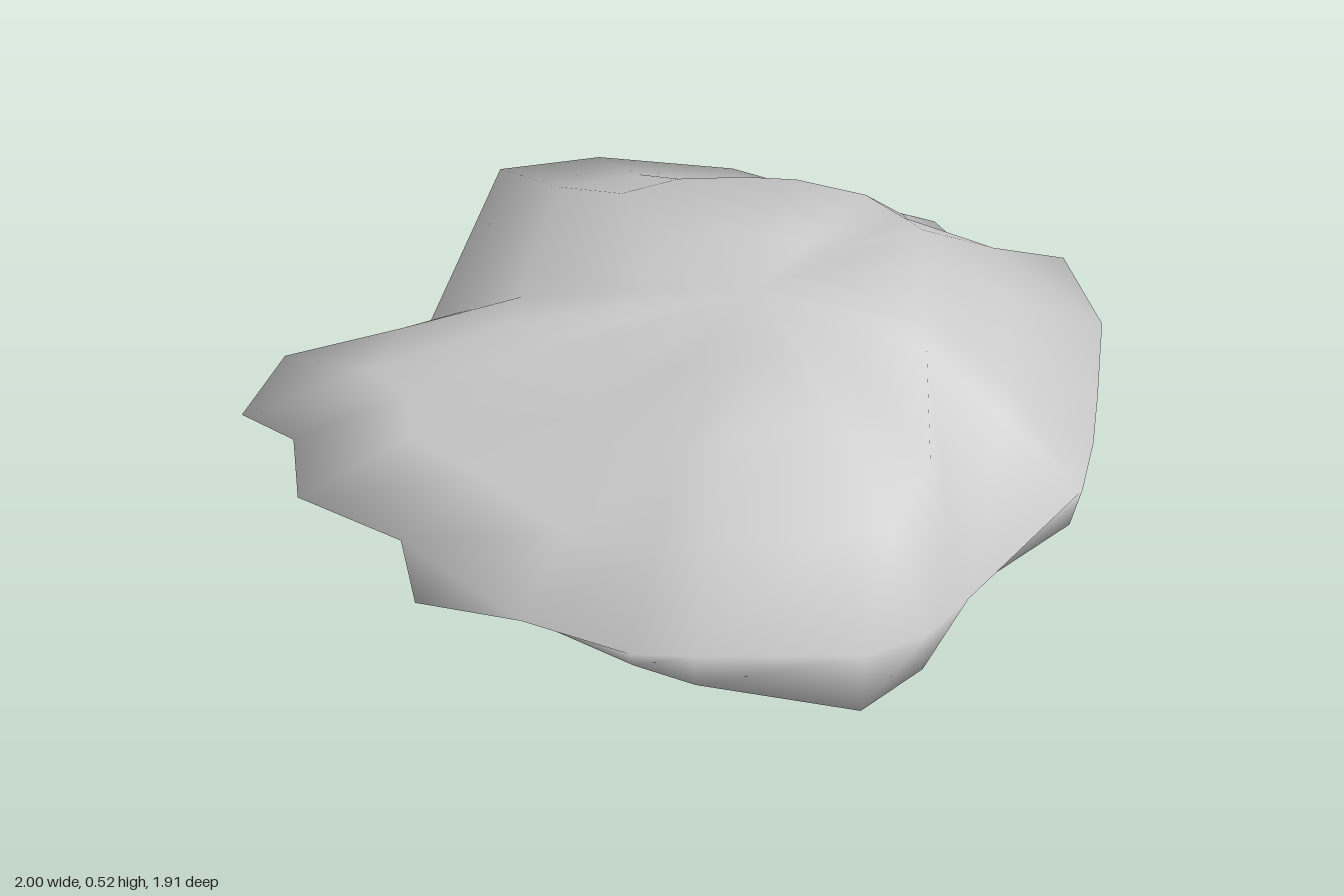
import * as THREE from 'three';

// Spokes around the boulder, clockwise from the back:
// rim x, rim z, rim height, shoulder fraction, shoulder height, base height
const SPOKES = [
  [-0.17, -0.96, 0.17, 0.50, 0.48, 0.04],
  [0.14, -0.93, 0.16, 0.51, 0.49, 0.04],
  [0.36, -0.83, 0.16, 0.56, 0.49, 0.05],
  [0.61, -0.73, 0.16, 0.61, 0.46, 0.06],
  [0.74, -0.63, 0.09, 0.63, 0.43, 0.06],
  [0.91, -0.58, 0.17, 0.54, 0.46, 0.06],
  [1.00, -0.28, 0.21, 0.48, 0.50, 0.06],
  [0.99, 0.00, 0.21, 0.48, 0.51, 0.06],
  [0.98, 0.15, 0.19, 0.49, 0.50, 0.06],
  [0.955, 0.30, 0.17, 0.52, 0.48, 0.06],
  [0.69, 0.57, 0.06, 0.82, 0.38, 0.05],
  [0.60, 0.83, 0.16, 0.56, 0.46, 0.03],
  [0.45, 0.955, 0.19, 0.48, 0.50, 0.00],
  [0.05, 0.88, 0.13, 0.55, 0.47, 0.02],
  [-0.10, 0.83, 0.10, 0.62, 0.44, 0.04],
  [-0.35, 0.68, 0.08, 0.67, 0.40, 0.06],
  [-0.63, 0.53, 0.20, 0.55, 0.37, 0.00],
  [-0.87, 0.29, 0.14, 0.52, 0.38, 0.02],
  [-0.88, 0.11, 0.17, 0.52, 0.38, 0.02],
  [-1.00, -0.01, 0.15, 0.50, 0.42, 0.02],
  [-0.90, -0.22, 0.16, 0.50, 0.42, 0.02],
  [-0.59, -0.38, 0.06, 0.68, 0.40, 0.03],
  [-0.40, -0.85, 0.22, 0.53, 0.46, 0.04],
];
const CENTRE = { x: 0.2, z: 0 };
const TOP = 0.525;

// Cross-section rings, each giving [radial fraction, height] for a spoke
const RINGS = [
  // Base, undercut beneath the left end and the back
  ([x, z, , , , b]) => [x < -0.8 ? 0.75 : z < -0.7 ? 0.9 : 0.96, b],
  ([, , y]) => [1, y],
  // Flank, slightly hollow towards the back
  ([, z, y, s, h]) => [s + (1 - s) * 0.5, (y + h) / 2 + Math.min(0.01, z * 0.02)],
  ([, , , s, h]) => [s, h],
  ([, , , s, h]) => [s * 0.5, h * 0.4 + TOP * 0.6],
];

function boulderGeometry() {
  const n = SPOKES.length;
  const positions = [];
  const index = [];
  for (const ring of RINGS) {
    for (const spoke of SPOKES) {
      const [f, y] = ring(spoke);
      positions.push(
        CENTRE.x + (spoke[0] - CENTRE.x) * f, y,
        CENTRE.z + (spoke[1] - CENTRE.z) * f,
      );
    }
  }
  const bottom = positions.length / 3;
  const top = bottom + 1;
  positions.push(CENTRE.x, 0.04, CENTRE.z, CENTRE.x, TOP, CENTRE.z);

  const last = (RINGS.length - 1) * n;
  for (let i = 0; i < n; i++) {
    const j = (i + 1) % n;
    // Sides between neighbouring rings
    for (let r = 0; r < last; r += n) {
      index.push(r + i, r + n + i, r + j, r + j, r + n + i, r + n + j);
    }
    // Underside and crown
    index.push(bottom, i, j, top, last + j, last + i);
  }
  const geometry = new THREE.BufferGeometry();
  geometry.setAttribute('position', new THREE.Float32BufferAttribute(positions, 3));
  geometry.setIndex(index);
  geometry.computeVertexNormals();
  return geometry;
}

export function createModel() {
  const group = new THREE.Group();
  group.name = 'rock';
  const boulder = new THREE.Mesh(
    boulderGeometry(),
    new THREE.MeshStandardMaterial({ color: 0xcccccc }),
  );
  boulder.name = 'boulder';
  group.add(boulder);
  return group;
}
